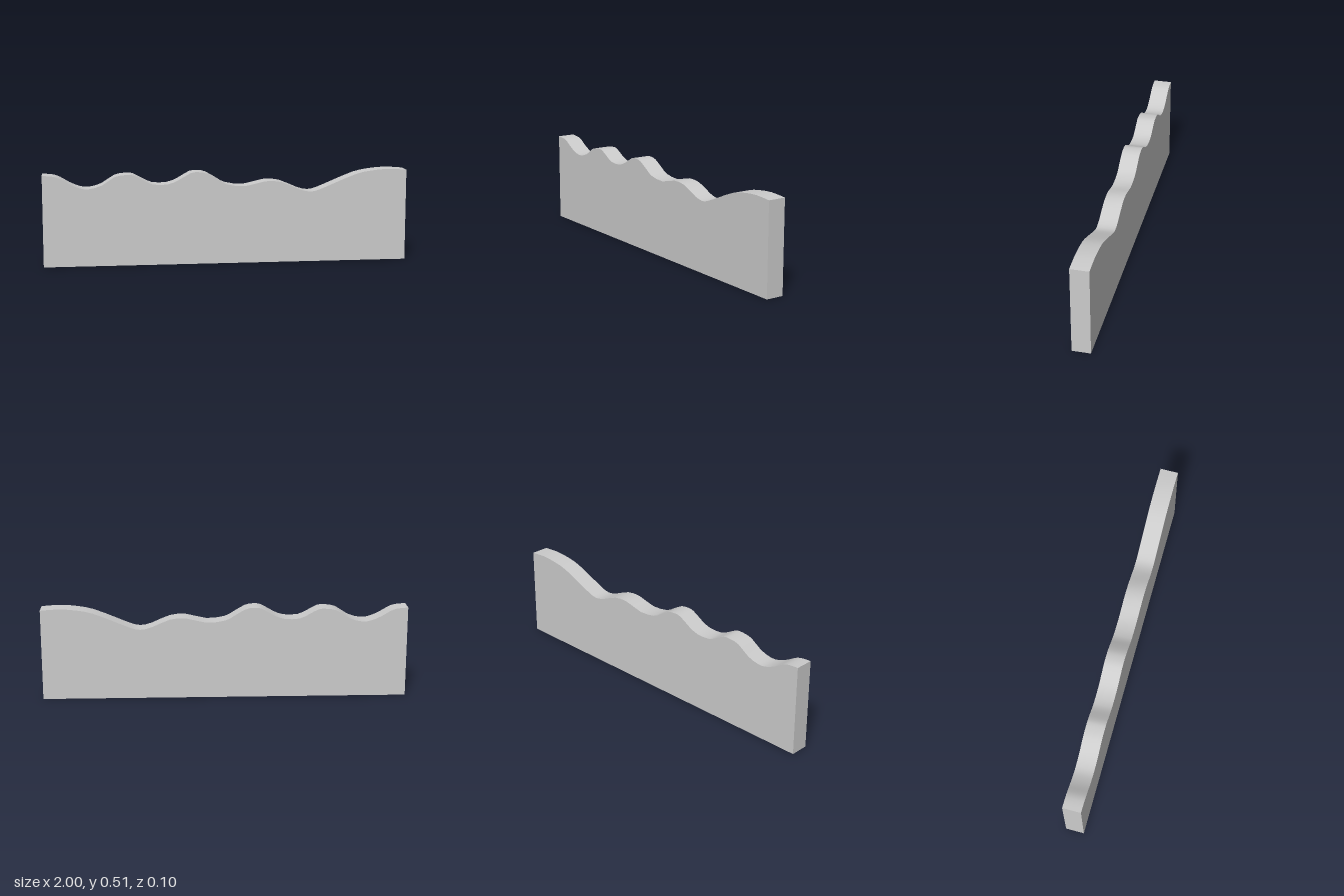
import * as THREE from 'three';
import { toCreasedNormals } from 'three/addons/utils/BufferGeometryUtils.js';

const DEPTH = 0.1;

// Wavy crest from left to right: [x, y]
const CREST = [
  [-1, 0.5], [-0.94, 0.495], [-0.9, 0.48], [-0.855, 0.453], [-0.8, 0.43], [-0.75, 0.424],
  [-0.68, 0.443], [-0.61, 0.488], [-0.55, 0.498], [-0.51, 0.495], [-0.46, 0.469],
  [-0.405, 0.444], [-0.325, 0.443], [-0.265, 0.465], [-0.2, 0.502], [-0.155, 0.507],
  [-0.11, 0.498], [-0.05, 0.463], [0, 0.437], [0.1, 0.426], [0.21, 0.451], [0.3, 0.445],
  [0.4, 0.403], [0.46, 0.39], [0.51, 0.4], [0.6, 0.437], [0.715, 0.483], [0.8, 0.501],
  [0.9, 0.509], [1, 0.502],
];

export function createModel() {
  const group = new THREE.Group();
  group.name = 'wavyWall';

  // Silhouette: flat base, straight ends, smooth crest
  const crest = new THREE.SplineCurve(CREST.map(([x, y]) => new THREE.Vector2(x, y)));
  const shape = new THREE.Shape([
    new THREE.Vector2(-1, 0),
    new THREE.Vector2(1, 0),
    ...crest.getPoints((CREST.length - 1) * 2).reverse(),
  ]);

  // Slab, with the crest shaded smoothly and all other edges sharp
  const slab = new THREE.ExtrudeGeometry(shape, { depth: DEPTH, bevelEnabled: false });
  slab.translate(0, 0, -DEPTH / 2);
  const wall = new THREE.Mesh(
    toCreasedNormals(slab, 0.6),
    new THREE.MeshStandardMaterial({ color: 0xcccccc }),
  );
  wall.name = 'wall';
  group.add(wall);
  return group;
}
